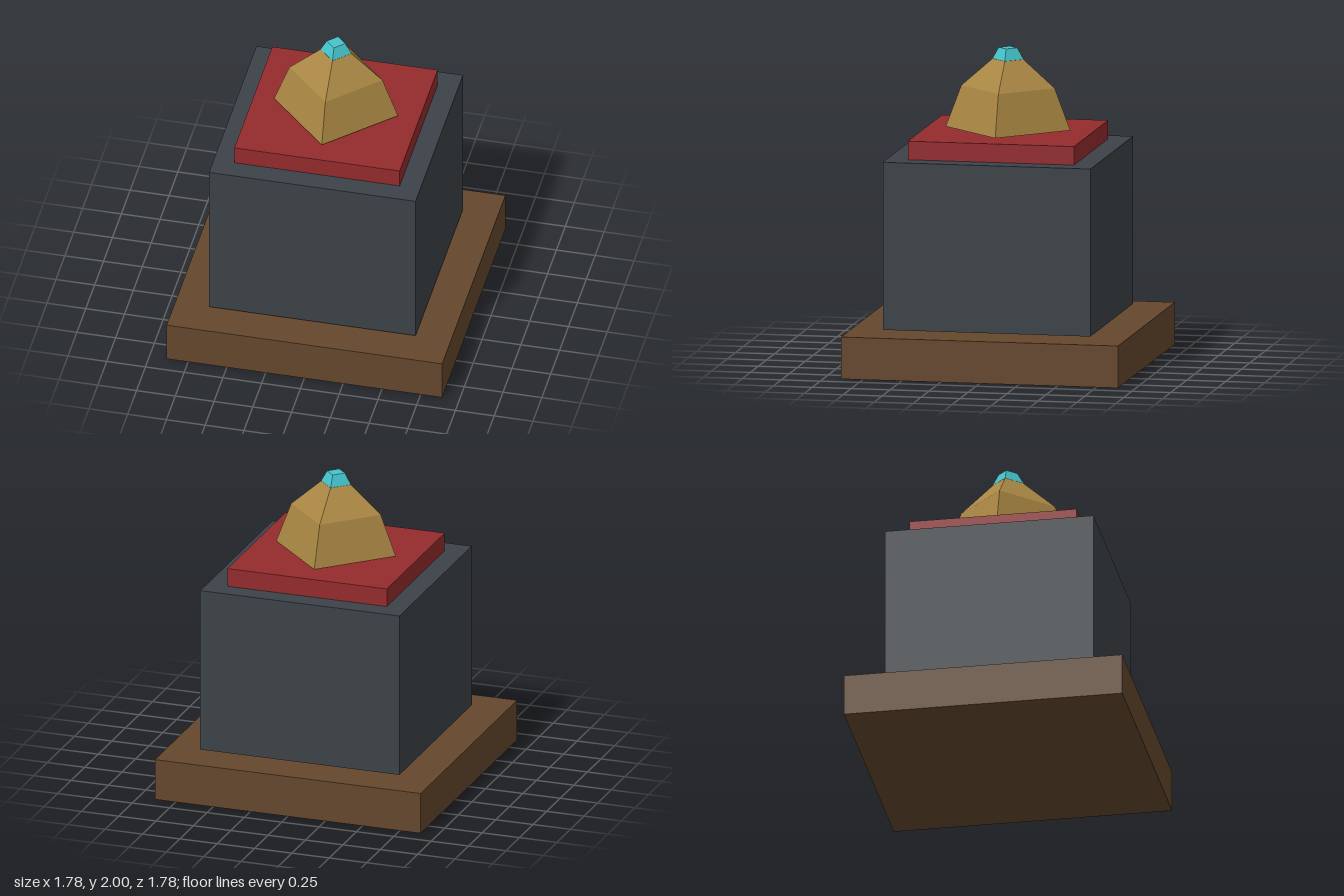
import * as THREE from 'three';

function material(name, color) {
  const m = new THREE.MeshStandardMaterial({ color, flatShading: true });
  m.name = name;
  return m;
}

export function createModel() {
  const group = new THREE.Group();
  group.name = 'pedestal';

  const wood = material('brown wood', 0x64472d);
  const slate = material('dark slate', 0x3c4248);
  const cloth = material('red cloth', 0x942b2d);
  const gold = material('old gold', 0xaa8743);
  const gem = material('turquoise', 0x45c5cd);

  function add(name, geometry, mat) {
    const mesh = new THREE.Mesh(geometry, mat);
    mesh.name = name;
    group.add(mesh);
    return mesh;
  }

  // Square slab between two heights
  function slab(name, width, bottom, top, mat) {
    add(name, new THREE.BoxGeometry(width, top - bottom, width), mat).position.y = (bottom + top) / 2;
  }

  // Four-sided solid with its corners on the axes, from [radius, height] pairs
  function facetedSolid(name, profile, mat) {
    const points = profile.map(([r, y]) => new THREE.Vector2(r, y));
    add(name, new THREE.LatheGeometry(points, 4), mat);
  }

  // Stacked plinth
  slab('base', 1.778, 0, 0.267, wood);
  slab('block', 1.333, 0.285, 1.352, slate);
  slab('cushion', 1.067, 1.352, 1.47, cloth);

  // Ornament and its jewel
  facetedSolid('ornament', [[0, 1.485], [0.4, 1.485], [0.3, 1.75], [0.1, 1.927], [0, 1.927]], gold);
  facetedSolid('jewel', [[0, 1.928], [0.1, 1.928], [0.06, 2], [0, 2]], gem);

  return group;
}
